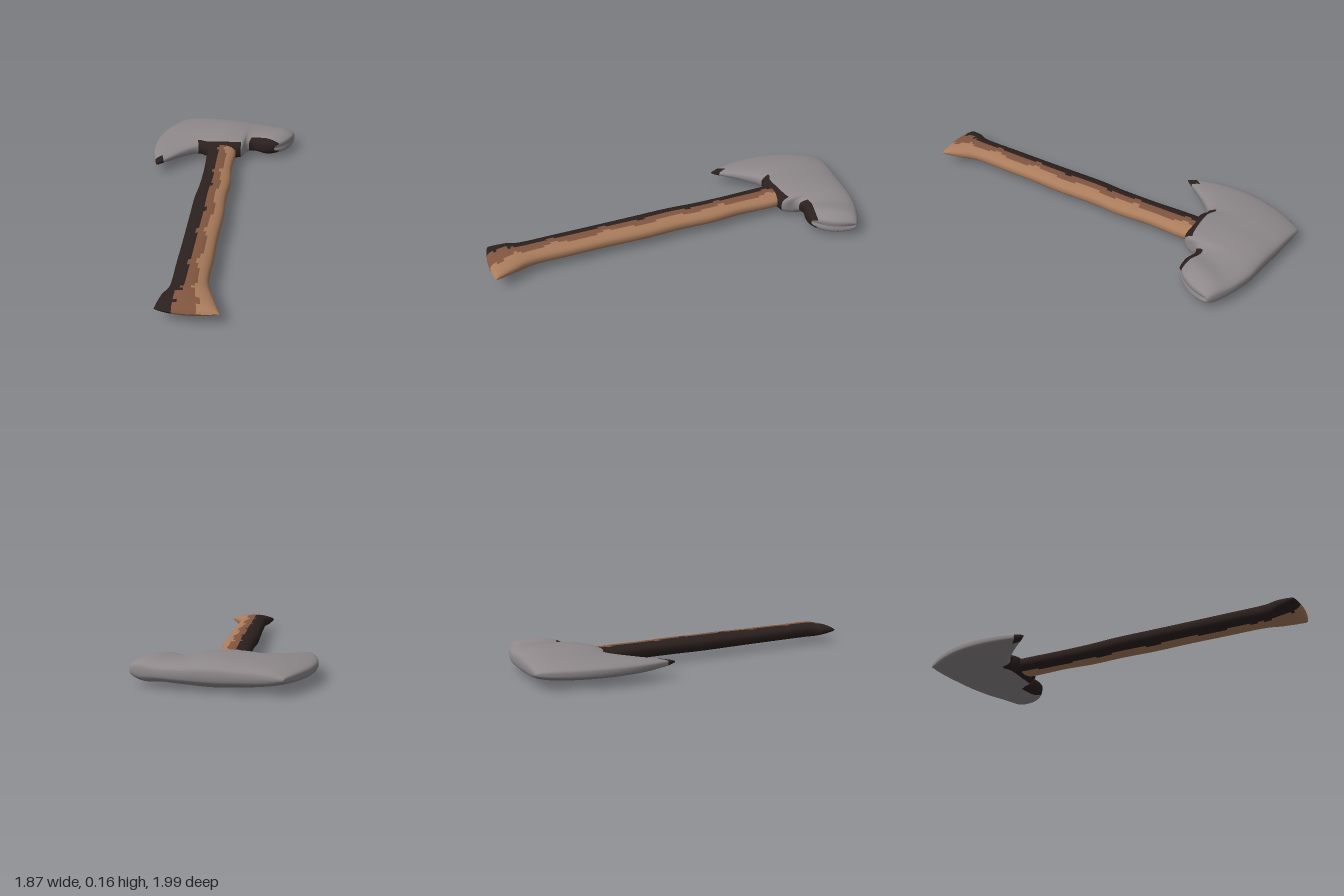
import * as THREE from 'three';

const CENTRE_Y = 0.08;

const paint = (name, color) => {
  const m = new THREE.MeshStandardMaterial({ color });
  m.name = name;
  return m;
};

// Smooth interpolation through the cross-section rows, steps per interval
function refine(rows, steps) {
  const out = [];
  const at = (i) => rows[Math.min(Math.max(i, 0), rows.length - 1)];
  for (let i = 0; i < rows.length - 1; i++) {
    for (let s = 0; s < steps; s++) {
      const u = s / steps;
      out.push(rows[i].map((b, k) => {
        const a = at(i - 1)[k], c = at(i + 1)[k], d = at(i + 2)[k];
        return b + 0.5 * u * (c - a + u * (2 * a - 5 * b + 4 * c - d + u * (3 * (b - c) + d - a)));
      }));
    }
  }
  out.push(rows[rows.length - 1]);
  return out;
}

// Loft through rows of [leftX, leftZ, rightX, rightZ, halfHeight, bow].
// pick(row position, t across, up) gives the material index of each face.
function loft(name, rows, steps, sides, power, materials, pick) {
  const rings = refine(rows, steps);
  const pos = [];
  const lists = materials.map(() => []);
  for (const [lx, lz, rx, rz, h, bow] of rings) {
    const cx = rx - lx, cz = rz - lz, len = Math.hypot(cx, cz);
    for (let j = 0; j < sides; j++) {
      const a = (j / sides) * Math.PI * 2;
      const t = (1 - Math.cos(a)) / 2;
      const b = (bow * 4 * t * (1 - t)) / len;
      const s = Math.sin(a);
      const y = Math.max(h, 0) * Math.sign(s) * Math.pow(Math.abs(s), power);
      pos.push(lx + cx * t - cz * b, CENTRE_Y + y, lz + cz * t + cx * b);
    }
  }
  for (let i = 0; i < rings.length - 1; i++) {
    for (let j = 0; j < sides; j++) {
      const k = (j + 1) % sides;
      const a = i * sides + j, b = a + sides, c = (i + 1) * sides + k, d = i * sides + k;
      const mid = ((j + 0.5) / sides) * Math.PI * 2;
      const m = pick((i + 0.5) / steps, (1 - Math.cos(mid)) / 2, Math.sin(mid) > 0);
      lists[m].push(a, b, c, a, c, d);
    }
  }
  const g = new THREE.BufferGeometry();
  g.setAttribute('position', new THREE.Float32BufferAttribute(pos, 3));
  g.setIndex(lists.flat());
  let start = 0;
  lists.forEach((l, m) => {
    if (l.length) g.addGroup(start, l.length, m);
    start += l.length;
  });
  g.computeVertexNormals();
  const mesh = new THREE.Mesh(g, materials);
  mesh.name = name;
  return mesh;
}

export function createModel() {
  const steel = paint('steel', 0x8e888a);
  const dark = paint('darkShade', 0x2b201e);
  const wood = paint('lightWood', 0xaa7c5c);
  const brown = paint('midWood', 0x80553f);

  const group = new THREE.Group();
  group.name = 'axe';

  // Head, from the blunt poll to the curved cutting edge
  const headRows = [
    [-0.215, -0.985, -0.17, -0.745, 0, -0.03],
    [-0.22, -1.0, -0.17, -0.73, 0.04, -0.03],
    [-0.28, -0.995, -0.22, -0.69, 0.07, -0.01],
    [-0.38, -0.97, -0.29, -0.655, 0.06, 0],
    [-0.5, -0.92, -0.31, -0.6, 0.065, 0],
    [-0.58, -0.87, -0.28, -0.525, 0.075, 0],
    [-0.66, -0.82, -0.36, -0.43, 0.08, 0],
    [-0.75, -0.765, -0.44, -0.36, 0.072, 0.01],
    [-0.82, -0.72, -0.5, -0.34, 0.065, 0.03],
    [-0.89, -0.675, -0.52, -0.2, 0.052, 0.06],
    [-0.935, -0.645, -0.515, -0.01, 0.028, 0.1],
    [-0.94, -0.64, -0.52, 0.01, 0, 0.105],
  ];
  group.add(loft('axeHead', headRows, 4, 48, 0.62, [steel, dark], (r, t) => {
    const poll = r > 0.8 && r < 3.6 && t > 0.87;
    const neck = r > 4.9 && r < 7.9 && t > 0.88;
    const tip = r > 9.7 && t > 0.94;
    return poll || neck || tip ? 1 : 0;
  }));

  // Handle, flaring to a wedge-shaped butt
  const handleRows = [
    [-0.5, -0.45, -0.4, -0.56, 0.04, 0],
    [-0.42, -0.35, -0.29, -0.49, 0.047, 0],
    [-0.25, -0.17, -0.14, -0.31, 0.047, 0],
    [-0.1, 0.0, 0.0, -0.17, 0.049, 0],
    [0.01, 0.14, 0.13, -0.01, 0.05, 0],
    [0.17, 0.32, 0.28, 0.15, 0.05, 0],
    [0.33, 0.5, 0.42, 0.32, 0.049, 0],
    [0.47, 0.66, 0.57, 0.49, 0.049, 0],
    [0.61, 0.82, 0.71, 0.65, 0.049, 0],
    [0.64, 0.9, 0.82, 0.72, 0.047, 0],
    [0.68, 0.97, 0.91, 0.77, 0.028, 0.01],
    [0.69, 0.985, 0.93, 0.78, 0, 0.02],
  ];
  group.add(loft('handle', handleRows, 5, 40, 0.8, [dark, brown, wood], (r, t, up) => {
    const wave = 0.05 * Math.sin(r * 4.1) + 0.03 * Math.sin(r * 9.3);
    const shade = (r > 9 ? 0.27 : up ? 0.42 : 0.3) + wave * 0.6;
    if (t < shade) return 0;
    return up && t < 0.68 + wave ? 1 : 2;
  }));

  return group;
}
